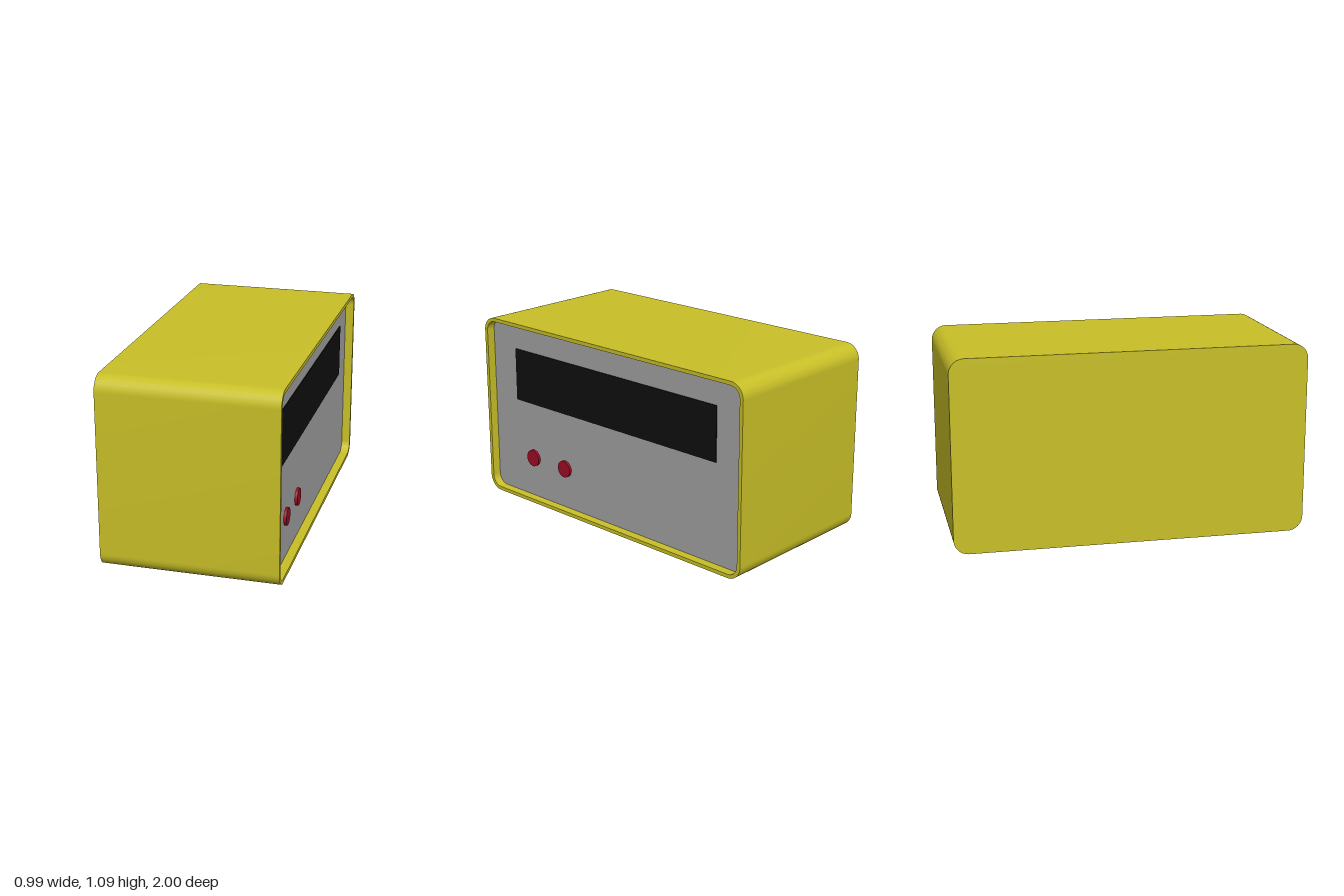
import * as THREE from 'three';
import { toCreasedNormals } from 'three/addons/utils/BufferGeometryUtils.js';

const LENGTH = 2, HEIGHT = 1.09, HALF = 0.497, WALL = 0.022, RADIUS = 0.085;
const PANEL_X = 0.446; // face of the recessed panel

const material = (name, color) => {
  const m = new THREE.MeshStandardMaterial({ color });
  m.name = name;
  return m;
};

// Rounded rectangle, inset from the outer outline of the case
function outline(inset, PathType = THREE.Shape) {
  const w = LENGTH / 2 - inset, h = HEIGHT / 2 - inset, r = RADIUS - inset;
  const p = new PathType();
  p.moveTo(-w + r, -h);
  p.lineTo(w - r, -h);
  p.absarc(w - r, -h + r, r, -Math.PI / 2, 0);
  p.lineTo(w, h - r);
  p.absarc(w - r, h - r, r, 0, Math.PI / 2);
  p.lineTo(-w + r, h);
  p.absarc(-w + r, h - r, r, Math.PI / 2, Math.PI);
  p.lineTo(-w, -h + r);
  p.absarc(-w + r, -h + r, r, Math.PI, Math.PI * 1.5);
  return p;
}

// Extrude an outline along x between two positions
function slab(shape, x0, x1) {
  const g = new THREE.ExtrudeGeometry(shape, { depth: x1 - x0, bevelEnabled: false, curveSegments: 12 });
  g.rotateY(Math.PI / 2);
  g.translate(x0, HEIGHT / 2, 0);
  return toCreasedNormals(g, 0.5);
}

export function createModel() {
  const model = new THREE.Group();
  model.name = 'displayBox';
  const yellow = material('yellow case', 0xc8bf27);
  const grey = material('grey panel', 0xa3a3a3);
  const black = material('black display', 0x0f0f0f);
  const red = material('red button', 0xa00c24);

  const add = (name, geometry, mat, x = 0, y = 0, z = 0) => {
    const mesh = new THREE.Mesh(geometry, mat);
    mesh.name = name;
    mesh.position.set(x, y, z);
    model.add(mesh);
    return mesh;
  };

  // Case sleeve, closed at the -x end
  const sleeve = outline(0);
  sleeve.holes.push(outline(WALL, THREE.Path));
  add('case', slab(sleeve, -HALF, HALF), yellow);
  add('caseBack', slab(outline(WALL), -HALF, -HALF + WALL), yellow);

  // Recessed control panel
  add('panel', slab(outline(WALL), PANEL_X - 0.02, PANEL_X), grey);

  // Display window
  add('display', new THREE.BoxGeometry(0.008, 0.315, 1.57), black, PANEL_X + 0.001, 0.762, 0);

  // Two round push buttons
  for (const z of [0.65, 0.38]) {
    const button = new THREE.CylinderGeometry(0.05, 0.05, 0.03, 32);
    button.rotateZ(-Math.PI / 2);
    add('button', button, red, PANEL_X, 0.265, z);
  }
  return model;
}
